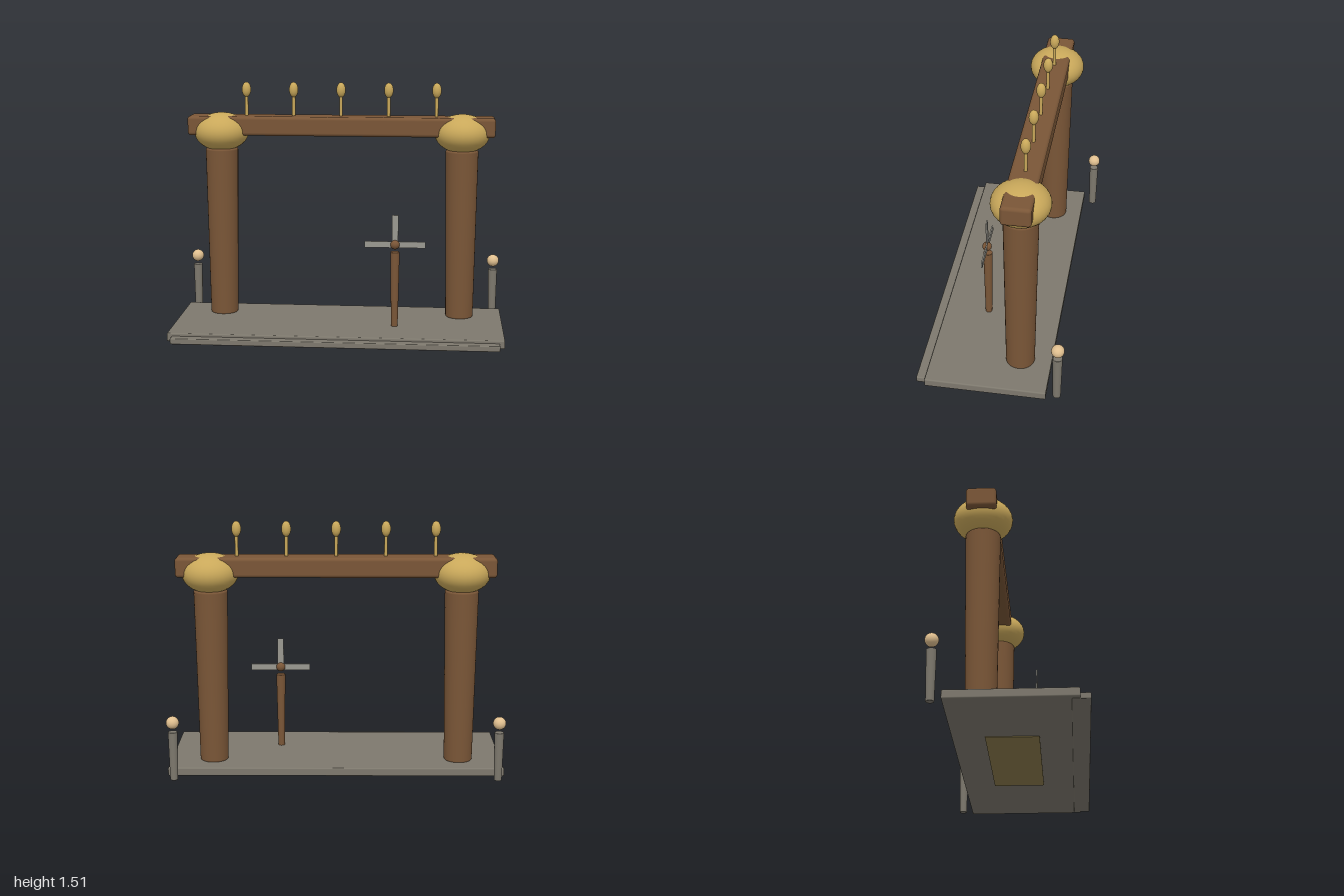
import * as THREE from 'three';
import { RoundedBoxGeometry } from 'three/addons/geometries/RoundedBoxGeometry.js';

const mat = (color) => new THREE.MeshStandardMaterial({ color });

export function createModel() {
  const root = new THREE.Group();
  const wood = mat(0x7a5637), gold = mat(0xc9a85a), stone = mat(0x7d786d);
  const pale = mat(0xe0bf8f), steel = mat(0x9a9890), olive = mat(0x8a7a4c);

  const add = (name, geometry, material, x, y, z, parent = root) => {
    const mesh = new THREE.Mesh(geometry, material);
    mesh.name = name;
    mesh.position.set(x, y, z);
    parent.add(mesh);
    return mesh;
  };
  const group = (name, x, z) => {
    const g = new THREE.Group();
    g.name = name;
    g.position.set(x, 0, z);
    root.add(g);
    return g;
  };
  const ellipsoid = (rx, ry) => new THREE.SphereGeometry(1, 32, 20).scale(rx, ry, rx);

  // Tapered round post with softened rims, standing on its origin
  const post = (rBottom, rTop, h, bevel) => {
    const profile = [new THREE.Vector2(0, 0)];
    for (let i = 0; i <= 4; i++) {
      const a = (i / 4) * Math.PI / 2;
      profile.push(new THREE.Vector2(rBottom - bevel + bevel * Math.sin(a), bevel - bevel * Math.cos(a)));
    }
    for (let i = 0; i <= 4; i++) {
      const a = (i / 4) * Math.PI / 2;
      profile.push(new THREE.Vector2(rTop - bevel + bevel * Math.cos(a), h - bevel + bevel * Math.sin(a)));
    }
    profile.push(new THREE.Vector2(0, h));
    return new THREE.LatheGeometry(profile, 32);
  };

  // Base slab, front step and the thin panel underneath
  add('baseSlab', new RoundedBoxGeometry(2, 0.05, 0.71, 3, 0.008), stone, 0, 0.03, 0.02);
  add('frontStep', new RoundedBoxGeometry(1.94, 0.035, 0.1, 3, 0.006), stone, 0, 0.02, 0.38);
  add('undersidePanel', new THREE.BoxGeometry(0.84, 0.008, 0.3), olive, -0.02, 0.004, 0);

  // Columns with flattened round capitals, and the marker posts behind
  for (const [side, s] of [['left', 1], ['right', -1]]) {
    const column = group(side + 'Column', s * 0.74, -0.15);
    add('shaft', post(0.085, 0.1, 1.05, 0.012), wood, 0, 0.05, 0, column);
    add('capital', ellipsoid(0.168, 0.118), gold, 0, 1.2, 0, column);

    const marker = group(side + 'MarkerPost', s * 0.955, -0.395);
    add('markerShaft', post(0.023, 0.028, 0.295, 0.004), stone, 0, 0.005, 0, marker);
    add('markerBall', ellipsoid(0.038, 0.038), pale, 0, 0.355, 0, marker);
  }

  // Lintel beam across the capitals
  add('beam', new RoundedBoxGeometry(1.876, 0.118, 0.17, 4, 0.02), wood, 0, 1.242, -0.15);

  // Finials along the beam
  for (let i = -2; i <= 2; i++) {
    const finial = group('finial', i * 0.291, -0.15);
    add('finialStem', new THREE.CylinderGeometry(0.01, 0.01, 0.15, 16), gold, 0, 1.36, 0, finial);
    add('finialBud', ellipsoid(0.028, 0.046), gold, 0, 1.46, 0, finial);
  }

  // Signpost with a hub and three thin blades
  const sign = group('signpost', 0.345, 0.11);
  add('signShaft', post(0.02, 0.028, 0.465, 0.004), wood, 0, 0.05, 0, sign);
  add('signHub', ellipsoid(0.028, 0.028), wood, 0, 0.56, 0.005, sign);
  add('crossBlade', new THREE.BoxGeometry(0.365, 0.038, 0.008), steel, 0, 0.56, 0.004, sign);
  add('uprightBlade', new THREE.BoxGeometry(0.038, 0.2, 0.008), steel, 0, 0.64, 0.004, sign);

  return root;
}
